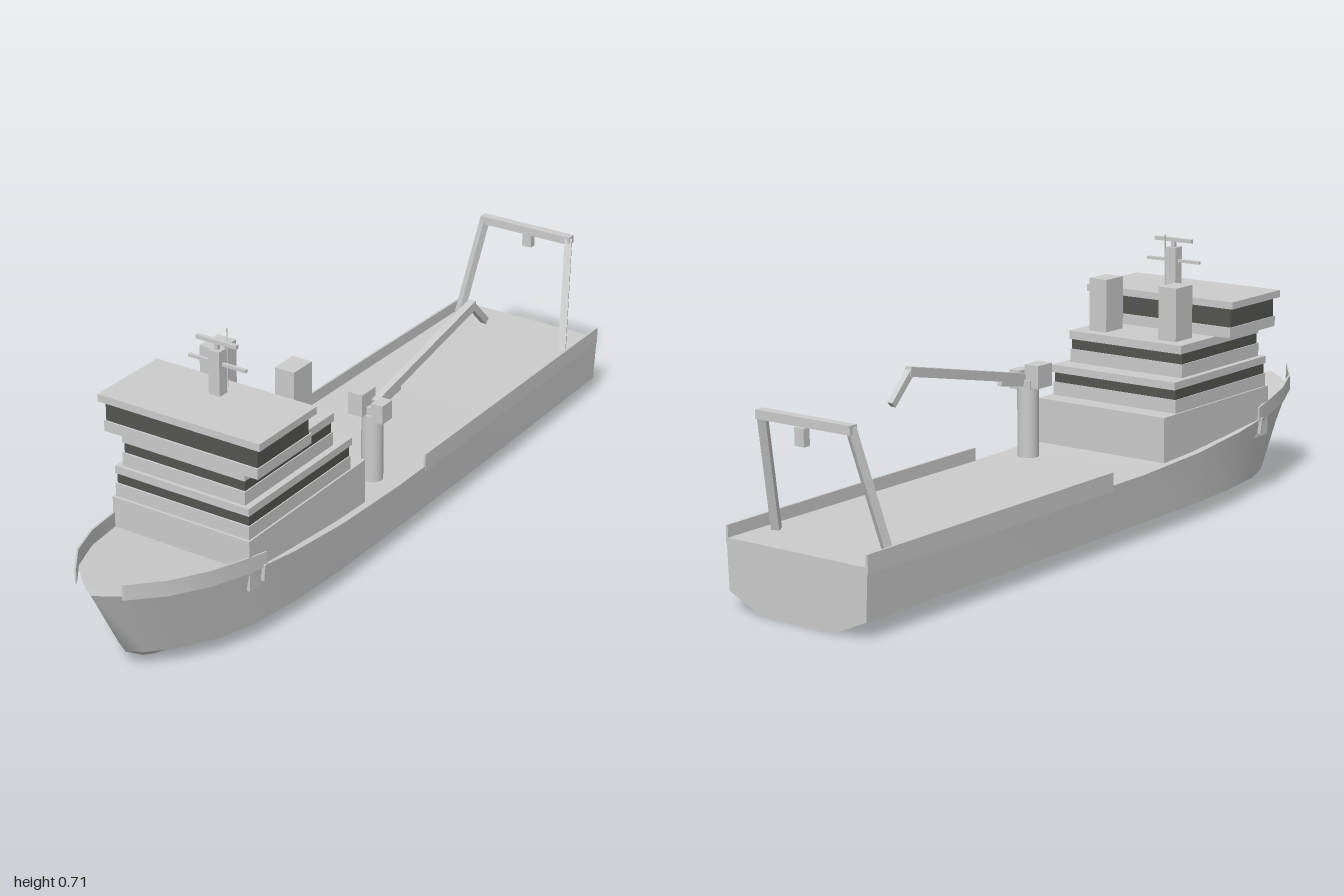
import * as THREE from 'three';
import { toCreasedNormals } from 'three/addons/utils/BufferGeometryUtils.js';

const grey = new THREE.MeshStandardMaterial({ color: 0xcccccc, side: THREE.DoubleSide });
const dark = new THREE.MeshStandardMaterial({ color: 0x555550 });

export function createModel() {
  const ship = new THREE.Group();

  const add = (name, geometry, material = grey) => {
    const mesh = new THREE.Mesh(geometry, material);
    mesh.name = name;
    ship.add(mesh);
    return mesh;
  };

  // Box given by its limits on each axis
  const block = (name, x0, x1, y0, y1, z0, z1, material) => {
    const mesh = add(name, new THREE.BoxGeometry(x1 - x0, y1 - y0, z1 - z0), material);
    mesh.position.set((x0 + x1) / 2, (y0 + y1) / 2, (z0 + z1) / 2);
    return mesh;
  };

  // Square-section bar between two points
  const beam = (name, from, to, width, height) => {
    const a = new THREE.Vector3(...from), b = new THREE.Vector3(...to);
    const mesh = add(name, new THREE.BoxGeometry(width, height, a.distanceTo(b)));
    mesh.position.copy(a).add(b).multiplyScalar(0.5);
    mesh.lookAt(b);
    return mesh;
  };

  // Skin through closed rings, counterclockwise seen from +z, running towards +z
  const loft = (rings) => {
    const n = rings[0].length, index = [];
    for (let i = 0; i < rings.length - 1; i++) {
      for (let j = 0; j < n; j++) {
        const a = i * n + j, b = i * n + (j + 1) % n;
        index.push(a, b, b + n, a, b + n, a + n);
      }
    }
    const last = (rings.length - 1) * n;
    for (let j = 1; j < n - 1; j++) {
      index.push(0, j + 1, j, last, last + j, last + j + 1);
    }
    const geometry = new THREE.BufferGeometry();
    geometry.setAttribute('position', new THREE.Float32BufferAttribute(rings.flat(2), 3));
    geometry.setIndex(index);
    return toCreasedNormals(geometry.toNonIndexed(), 0.42);
  };

  // Hull stations: deck z, x, y; chine z, x; keel z, x
  const stations = [
    [-1, 0.213, 0.17, -1, 0.207, -1, 0.11],
    [-0.5, 0.218, 0.17, -0.5, 0.212, -0.5, 0.115],
    [0.05, 0.22, 0.17, 0.05, 0.212, 0.05, 0.115],
    [0.3, 0.22, 0.18, 0.3, 0.21, 0.3, 0.115],
    [0.5, 0.216, 0.197, 0.47, 0.2, 0.45, 0.105],
    [0.66, 0.2, 0.212, 0.62, 0.18, 0.58, 0.09],
    [0.78, 0.172, 0.226, 0.72, 0.145, 0.67, 0.07],
    [0.9, 0.118, 0.24, 0.81, 0.09, 0.75, 0.042],
    [0.96, 0.055, 0.247, 0.86, 0.04, 0.8, 0.018],
    [1, 0, 0.25, 0.885, 0, 0.82, 0],
  ];
  add('hull', loft(stations.map(([zd, xd, yd, zc, xc, zk, xk]) => [
    [xd, yd, zd], [-xd, yd, zd], [-xc, 0.043, zc],
    [-xk, 0, zk], [xk, 0, zk], [xc, 0.043, zc],
  ])));

  // Bow bulwark path: x, z, bottom, top
  const bowRail = [
    [0.21, 0.605, 0.205, 0.244],
    [0.199, 0.67, 0.21, 0.252],
    [0.175, 0.78, 0.223, 0.265],
    [0.132, 0.885, 0.236, 0.277],
    [0.07, 0.97, 0.246, 0.286],
  ];
  for (const s of [1, -1]) {
    const side = s > 0 ? 'left' : 'right';
    add(side + 'BowBulwark', loft(bowRail.map(([x, z, y0, y1]) => {
      const ring = [[x, y0], [x, y1], [x - 0.005, y1], [x - 0.005, y0]]
        .map(([px, py]) => [px * s, py, z]);
      return s > 0 ? ring : ring.reverse();
    })));
    beam(side + 'BulwarkFoot', [s * 0.2, 0.17, 0.615], [s * 0.204, 0.215, 0.615], 0.006, 0.02);

    // Low wall along the working deck
    add(side + 'DeckBulwark', loft([
      [-1, 0.214, 0.2], [-0.5, 0.219, 0.203], [-0.08, 0.221, 0.204],
    ].map(([z, x, y]) => {
      const ring = [[x, 0.155], [x, y], [x - 0.006, y], [x - 0.006, 0.155]]
        .map(([px, py]) => [px * s, py, z]);
      return s > 0 ? ring : ring.reverse();
    })));

    // Funnels and stern frame legs
    const inner = s * 0.083, outer = s * 0.138;
    block(side + 'Funnel', Math.min(inner, outer), Math.max(inner, outer), 0.375, 0.6, 0.31, 0.385);
    beam(side + 'FrameLeg', [s * 0.17, 0.17, -0.878], [s * 0.133, 0.468, -0.957], 0.02, 0.02);
  }

  // Deckhouse tiers: name, half width, y range, z range, material
  [
    ['lowerHouse', 0.2, 0.16, 0.293, 0.17, 0.662],
    ['secondTier', 0.195, 0.293, 0.328, 0.228, 0.655],
    ['secondTierWindows', 0.192, 0.328, 0.355, 0.231, 0.65, dark],
    ['secondTierRoof', 0.195, 0.355, 0.375, 0.222, 0.655],
    ['thirdTier', 0.178, 0.375, 0.41, 0.28, 0.645],
    ['thirdTierWindows', 0.175, 0.41, 0.438, 0.284, 0.64, dark],
    ['thirdTierRoof', 0.178, 0.438, 0.46, 0.275, 0.645],
    ['bridgeBase', 0.222, 0.46, 0.487, 0.436, 0.655],
    ['bridgeWindows', 0.219, 0.487, 0.538, 0.443, 0.65, dark],
    ['bridgeRoof', 0.233, 0.538, 0.557, 0.43, 0.662],
  ].forEach(([name, x, y0, y1, z0, z1, material]) => block(name, -x, x, y0, y1, z0, z1, material));

  // Mast, spars and aerials
  block('mast', -0.016, 0.016, 0.557, 0.672, 0.485, 0.515);
  block('mastSpar', -0.083, 0.083, 0.632, 0.64, 0.496, 0.504);
  block('mastPost', -0.005, 0.005, 0.672, 0.686, 0.495, 0.505);
  block('radarBar', -0.058, 0.058, 0.686, 0.696, 0.495, 0.505);
  const aerial = add('aerial', new THREE.CylinderGeometry(0.0015, 0.0015, 0.153, 8));
  aerial.position.set(0, 0.633, 0.46);

  // Deck crane with folded jib
  const pedestal = add('cranePedestal', new THREE.CylinderGeometry(0.028, 0.028, 0.19, 24));
  pedestal.position.set(0.14, 0.26, 0.045);
  block('craneHead', 0.093, 0.135, 0.355, 0.415, 0.025, 0.085);
  block('craneSideBox', 0.155, 0.188, 0.345, 0.395, 0.03, 0.075);
  block('craneTurntable', 0.115, 0.165, 0.352, 0.375, 0.02, 0.065);
  beam('craneRam', [0.143, 0.362, 0.04], [0.143, 0.38, -0.07], 0.014, 0.014);
  beam('craneBoom', [0.143, 0.376, 0.04], [0.143, 0.472, -0.43], 0.02, 0.024);
  beam('craneJib', [0.143, 0.472, -0.42], [0.143, 0.4, -0.493], 0.016, 0.018);

  // Stern frame beam and hanging block
  block('frameCrossbeam', -0.142, 0.142, 0.453, 0.475, -0.97, -0.945);
  block('frameBlock', -0.014, 0.014, 0.41, 0.453, -0.98, -0.96);

  return ship;
}
